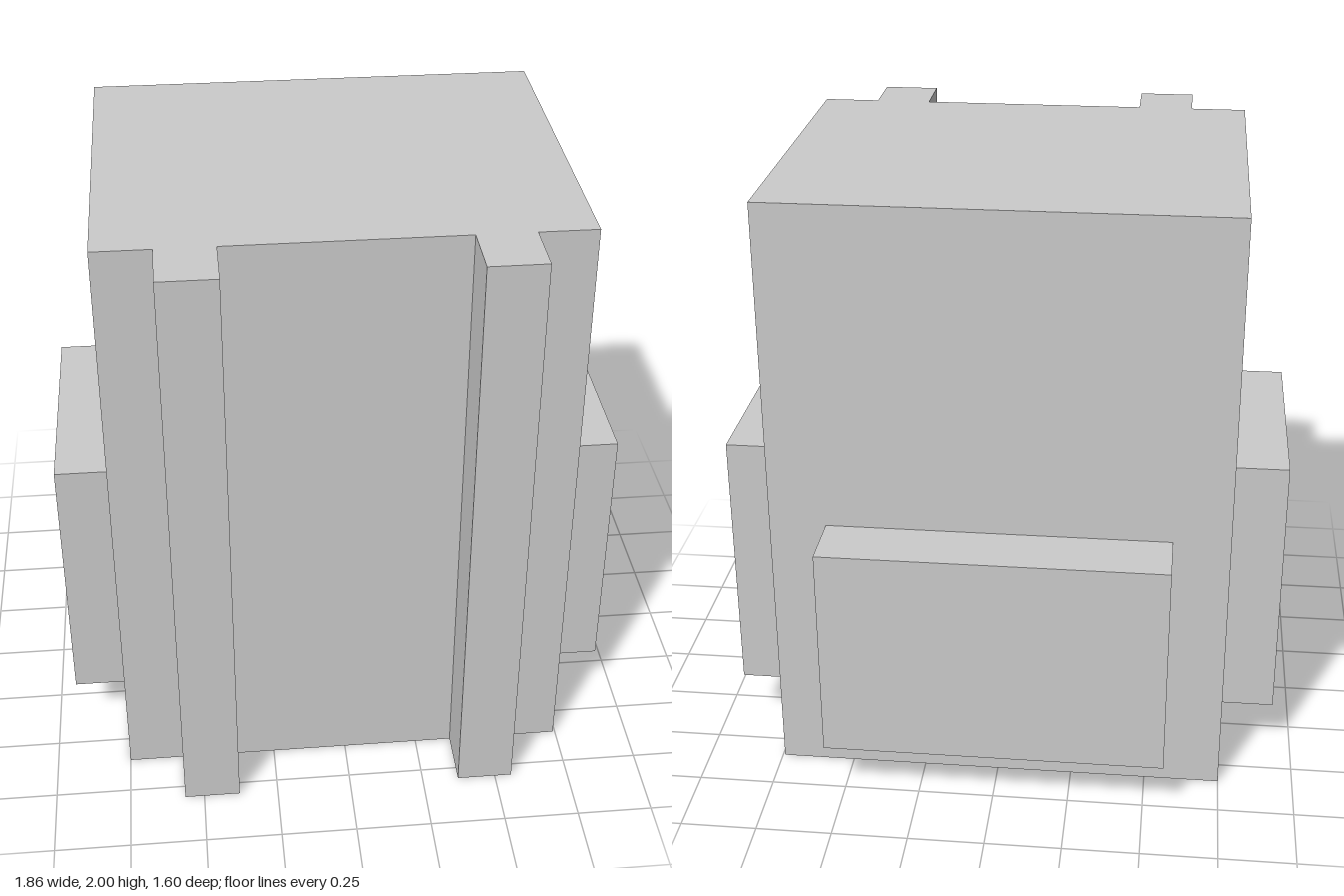
import * as THREE from 'three';

const material = new THREE.MeshStandardMaterial({ color: 0xcccccc, flatShading: true });

// Box given by its minimum and maximum corners
function block(name, [x0, y0, z0], [x1, y1, z1]) {
  const mesh = new THREE.Mesh(new THREE.BoxGeometry(x1 - x0, y1 - y0, z1 - z0), material);
  mesh.position.set((x0 + x1) / 2, (y0 + y1) / 2, (z0 + z1) / 2);
  mesh.name = name;
  return mesh;
}

export function createModel() {
  const group = new THREE.Group();
  group.name = 'backpack';

  // Main compartment
  group.add(block('body', [-0.75, 0, -0.593], [0.743, 2, 0.606]));

  // Shoulder straps running the full height of the front
  group.add(block('rightStrap', [-0.565, 0, 0.606], [-0.38, 2, 0.8]));
  group.add(block('leftStrap', [0.372, 0, 0.606], [0.557, 2, 0.8]));

  // Side pockets
  group.add(block('rightPocket', [-0.93, 0.185, -0.392], [-0.75, 1.09, 0.404]));
  group.add(block('leftPocket', [0.743, 0.185, -0.392], [0.926, 1.09, 0.404]));

  // Wide pocket on the back
  group.add(block('backPocket', [-0.565, 0.19, -0.8], [0.557, 0.915, -0.593]));

  return group;
}
